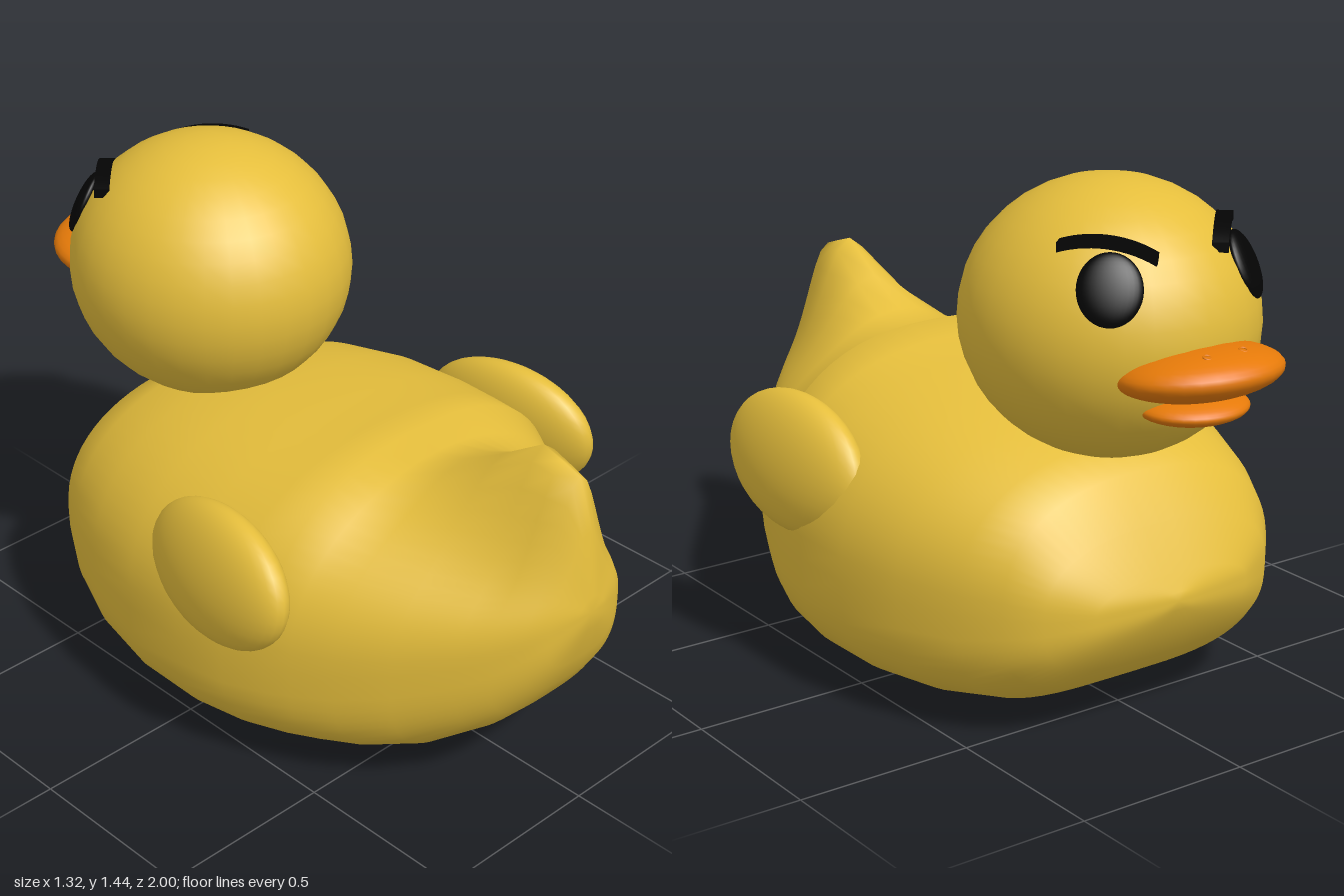
import * as THREE from 'three';

const HEAD = new THREE.Vector3(0, 1.07, -0.44);
const HEAD_R = new THREE.Vector3(0.39, 0.37, 0.405);

// Body stations from breast to tail: z, half width, bottom, widest height, top, ridge height, ridge spread
const STATIONS = [
  [-0.745, 0.05, 0.345, 0.37, 0.395, 0.395, 1],
  [-0.72, 0.25, 0.285, 0.37, 0.44, 0.44, 1],
  [-0.66, 0.37, 0.19, 0.37, 0.56, 0.56, 1],
  [-0.58, 0.445, 0.118, 0.37, 0.68, 0.68, 1],
  [-0.47, 0.51, 0.055, 0.36, 0.735, 0.735, 1],
  [-0.3, 0.58, 0.02, 0.36, 0.785, 0.785, 1],
  [-0.1, 0.622, 0.005, 0.36, 0.82, 0.82, 1],
  [0.1, 0.625, 0.004, 0.36, 0.835, 0.835, 1],
  [0.25, 0.6, 0.013, 0.36, 0.85, 0.85, 1],
  [0.37, 0.56, 0.026, 0.37, 0.87, 0.87, 1],
  [0.44, 0.53, 0.037, 0.38, 0.8, 0.83, 0.3],
  [0.55, 0.48, 0.06, 0.4, 0.76, 0.86, 0.25],
  [0.68, 0.4, 0.11, 0.43, 0.73, 0.935, 0.19],
  [0.81, 0.3, 0.205, 0.47, 0.7, 1.02, 0.135],
  [0.875, 0.245, 0.275, 0.5, 0.69, 1.0, 0.12],
  [0.935, 0.185, 0.365, 0.54, 0.68, 0.98, 0.1],
  [0.97, 0.13, 0.445, 0.57, 0.67, 0.83, 0.08],
  [1.0, 0.05, 0.55, 0.6, 0.63, 0.65, 0.05],
];

// Rounded sections, boxier below, with a ridge that rises into the tail
function bodyGeometry(sides = 64) {
  const pos = [], index = [];
  for (const [z, w, bottom, mid, top, ridge, spread] of STATIONS) {
    for (let j = 0; j < sides; j++) {
      const a = (j / sides) * Math.PI * 2;
      const c = Math.cos(a), s = Math.sin(a);
      const e = s < 0 ? 2 / 3.1 : 2 / 2.4;
      const x = w * Math.sign(c) * Math.abs(c) ** e;
      let y = mid + (s < 0 ? mid - bottom : top - mid) * Math.sign(s) * Math.abs(s) ** e;
      if (s > 0) y += (ridge - top) * Math.exp(-((x / spread) ** 2)) * s;
      pos.push(x, y, z);
    }
  }
  const rows = STATIONS.length;
  for (let i = 0; i < rows - 1; i++) {
    for (let j = 0; j < sides; j++) {
      const k = (j + 1) % sides;
      const a = i * sides + j, b = i * sides + k;
      index.push(a, b, a + sides, b, b + sides, a + sides);
    }
  }
  // Close both ends
  const first = STATIONS[0], last = STATIONS[rows - 1];
  const front = pos.length / 3, back = front + 1;
  pos.push(0, first[3], first[0], 0, last[3], last[0]);
  for (let j = 0; j < sides; j++) {
    const k = (j + 1) % sides;
    index.push(front, k, j, back, (rows - 1) * sides + j, (rows - 1) * sides + k);
  }
  const geo = new THREE.BufferGeometry();
  geo.setAttribute('position', new THREE.Float32BufferAttribute(pos, 3));
  geo.setIndex(index);
  geo.computeVertexNormals();
  return geo;
}

// Height of the head's upper surface above a plan position
function headTop(x, z) {
  const q = 1 - (x / HEAD_R.x) ** 2 - ((z - HEAD.z) / HEAD_R.z) ** 2;
  return HEAD.y + HEAD_R.y * Math.sqrt(Math.max(q, 0));
}

// Angry brow: a thin ledge, straight in plan, whose inner edge follows the head
function browGeometry(side) {
  const geo = new THREE.BoxGeometry(1, 1, 1, 14, 1, 1);
  const p = geo.attributes.position;
  for (let i = 0; i < p.count; i++) {
    const t = p.getX(i) + 0.5, u = p.getZ(i) * 0.042;
    const x = 0.1 + 0.17 * t, z = -0.755 + 0.18 * t;
    const y = headTop(x - 0.016, z + 0.014) + (p.getY(i) - 0.5) * 0.026 + 0.004;
    p.setXYZ(i, side * (x + u * 0.74), y, z - u * 0.67);
  }
  geo.computeVertexNormals();
  return geo;
}

export function createModel() {
  const duck = new THREE.Group();
  duck.name = 'toyDuck';
  const yellow = new THREE.MeshStandardMaterial({ color: 0xe5be3c });
  yellow.name = 'yellow';
  const orange = new THREE.MeshStandardMaterial({ color: 0xe67a09 });
  orange.name = 'orange';
  const black = new THREE.MeshStandardMaterial({ color: 0x040404, side: THREE.DoubleSide });
  black.name = 'black';

  const add = (name, geo, mat) => {
    const mesh = new THREE.Mesh(geo, mat);
    mesh.name = name;
    duck.add(mesh);
    return mesh;
  };
  const ellipsoid = (name, mat, center, radii, rot = [0, 0, 0]) => {
    const mesh = add(name, new THREE.SphereGeometry(1, 32, 20), mat);
    mesh.position.set(...center);
    mesh.scale.set(...radii);
    mesh.rotation.set(...rot);
    return mesh;
  };

  add('body', bodyGeometry(), yellow);
  ellipsoid('head', yellow, HEAD.toArray(), HEAD_R.toArray());

  // Bill
  ellipsoid('upperBill', orange, [0, 1.005, -0.8], [0.23, 0.07, 0.198], [0.12, 0, 0]);
  ellipsoid('lowerBill', orange, [0, 0.911, -0.78], [0.152, 0.039, 0.135]);

  for (const side of [1, -1]) {
    const label = side > 0 ? 'Right' : 'Left';
    ellipsoid('wing' + label, yellow, [side * 0.562, 0.597, 0.208],
      [0.09, 0.192, 0.282], [-0.1, side * 0.1, side * 0.15]);

    // Flattened eye lying on the head
    const eye = ellipsoid('eye' + label, black, [side * 0.218, 1.228, -0.717], [0.083, 0.094, 0.026]);
    eye.lookAt(eye.position.clone().multiplyScalar(2).sub(HEAD));
    add('brow' + label, browGeometry(side), black);

    // Nostril rims
    const nostril = add('nostril' + label, new THREE.TorusGeometry(0.01, 0.003, 6, 14), orange);
    nostril.position.set(side * 0.058, 1.073, -0.9);
    nostril.rotation.x = -Math.PI / 2 - 0.3;
  }

  // Air hole underneath
  const hole = add('airHole', new THREE.CylinderGeometry(0.038, 0.038, 0.006, 24), black);
  hole.position.set(0, 0.003, 0.015);
  return duck;
}
